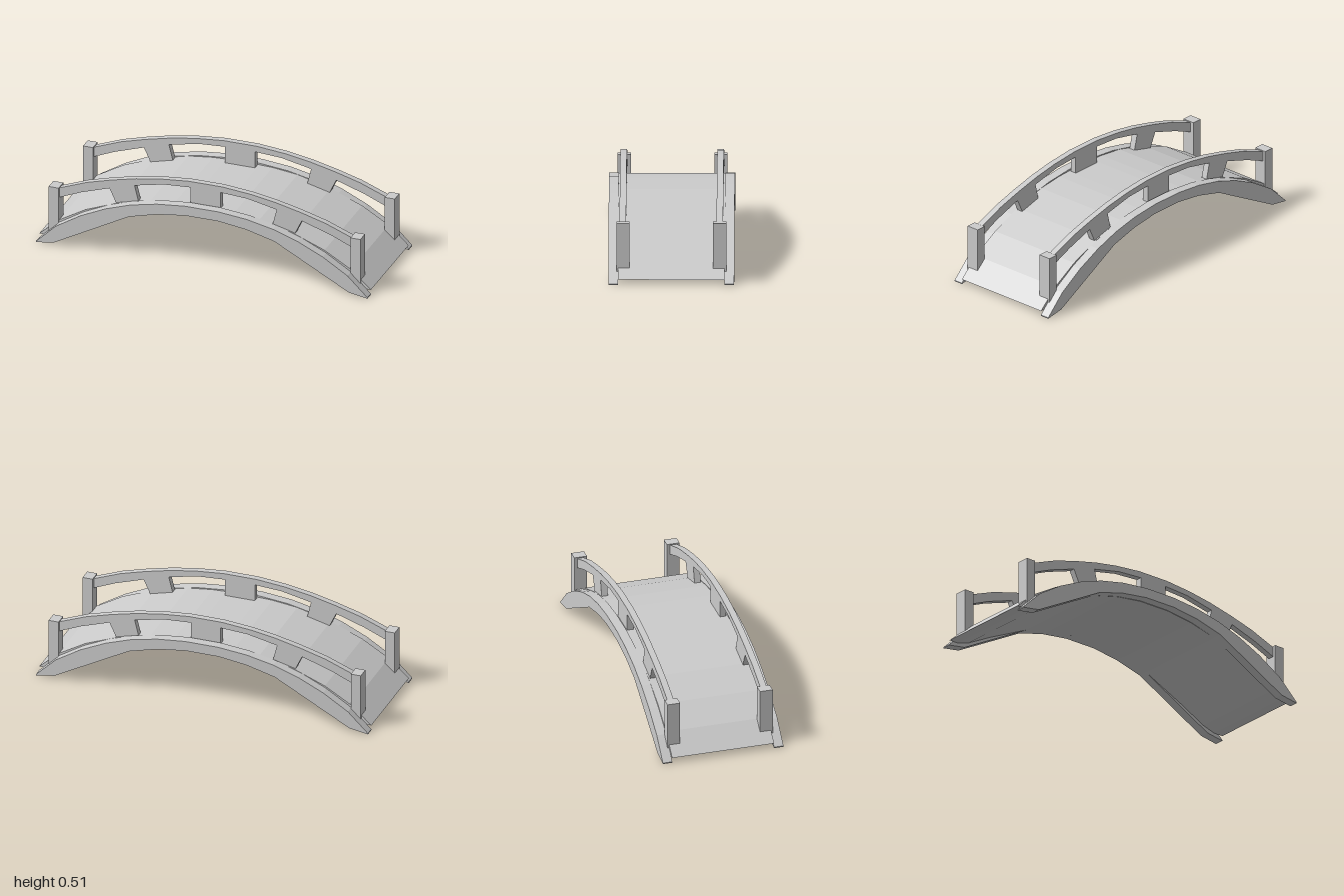
import * as THREE from 'three';

const material = new THREE.MeshStandardMaterial({ color: 0xcccccc, flatShading: true });

// Extrudes a side-on outline between two z positions
function slab(name, points, z0, z1) {
  const shape = new THREE.Shape(points.map(([x, y]) => new THREE.Vector2(x, y)));
  const geometry = new THREE.ExtrudeGeometry(shape, { depth: z1 - z0, bevelEnabled: false });
  geometry.translate(0, 0, z0);
  const mesh = new THREE.Mesh(geometry, material);
  mesh.name = name;
  return mesh;
}

const flip = (points) => points.map(([x, y]) => [-x, y]);

// Closes an arch from the right halves of its lower and upper edges (centre to end)
function arch(lower, upper) {
  return [
    ...flip(lower).reverse(), ...lower,
    ...[...upper].reverse(), ...flip(upper),
  ];
}

export function createModel() {
  const bridge = new THREE.Group();
  bridge.name = 'archedFootbridge';

  // Walking deck, slightly proud of the beams near its ends
  bridge.add(slab('deck', arch(
    [[0.1, 0.325], [0.27, 0.303], [0.44, 0.26], [0.7, 0.138], [0.86, 0.055], [0.94, 0.03]],
    [[0.1, 0.377], [0.18, 0.374], [0.33, 0.356], [0.53, 0.305], [0.72, 0.23], [0.88, 0.137], [1, 0.03]],
  ), -0.3, 0.3));

  const beam = arch(
    [[0.1, 0.328], [0.27, 0.305], [0.44, 0.26], [0.7, 0.12], [0.89, 0.018], [1, 0]],
    [[0.1, 0.387], [0.27, 0.37], [0.43, 0.336], [0.58, 0.285], [0.73, 0.215], [0.88, 0.122], [1, 0.006]],
  );
  const rail = arch(
    [[0.09, 0.478], [0.25, 0.468], [0.43, 0.43], [0.58, 0.386], [0.75, 0.33], [0.9, 0.267]],
    [[0.1, 0.515], [0.27, 0.499], [0.42, 0.474], [0.57, 0.439], [0.72, 0.397], [0.9, 0.327]],
  );
  // Short supports under the handrail
  const middleSupport = [[-0.09, 0.35], [0.09, 0.35], [0.09, 0.485], [-0.09, 0.485]];
  const slantedSupport = [[0.4, 0.315], [0.53, 0.28], [0.582, 0.39], [0.43, 0.435]];

  for (const side of [1, -1]) {
    const half = new THREE.Group();
    half.name = side > 0 ? 'frontSide' : 'backSide';
    const add = (name, points, inner, outer) => half.add(
      slab(name, points, side > 0 ? inner : -outer, side > 0 ? outer : -inner));

    add('sideBeam', beam, 0.3, 0.355);
    add('handrail', rail, 0.255, 0.292);
    add('middleSupport', middleSupport, 0.255, 0.292);
    add('leftSupport', slantedSupport, 0.255, 0.292);
    add('rightSupport', flip(slantedSupport).reverse(), 0.255, 0.292);

    // End posts
    for (const x of [0.91, -0.91]) {
      const post = new THREE.Mesh(new THREE.BoxGeometry(0.06, 0.28, 0.075), material);
      post.name = x > 0 ? 'leftPost' : 'rightPost';
      post.position.set(x, 0.201, side * 0.2725);
      half.add(post);
    }
    bridge.add(half);
  }
  return bridge;
}
